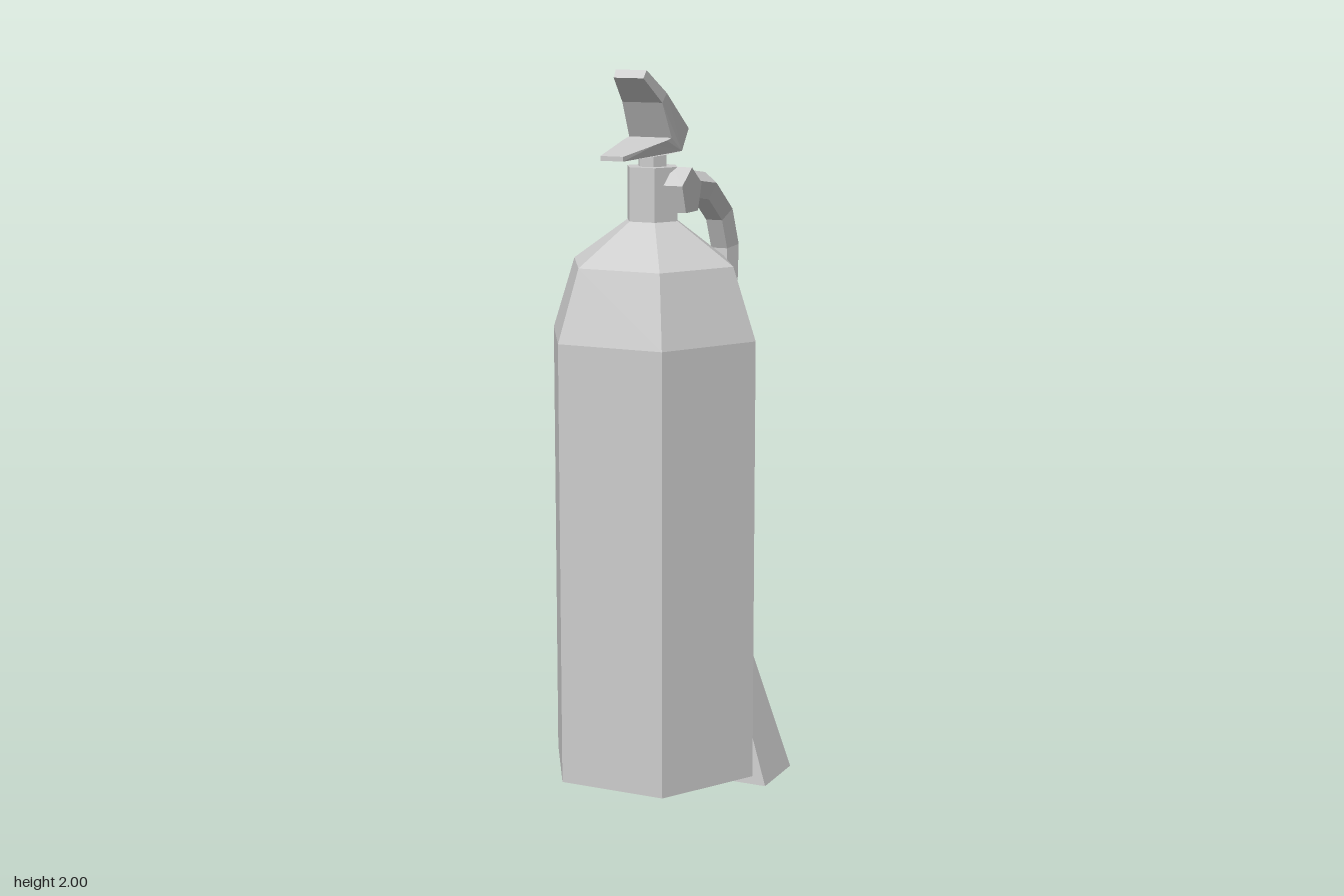
import * as THREE from 'three';

const grey = new THREE.MeshStandardMaterial({ color: 0xcccccc, flatShading: true });
grey.name = 'light grey';

const TANK_Z = 0.127; // axis of the tank

function part(name, geometry) {
  const mesh = new THREE.Mesh(geometry, grey);
  mesh.name = name;
  return mesh;
}

// Six-sided turned part with corners on the x axis; profile is [radius, y] from the bottom up
function hexLathe(profile) {
  const points = profile.map(([r, y]) => new THREE.Vector2(r, y));
  return new THREE.LatheGeometry(points, 6, Math.PI / 6).translate(0, 0, TANK_Z);
}

// Side outline in [z, y], extruded across x and narrowed towards the tip
function lever(outline, tipZ, tipHalf) {
  const shape = new THREE.Shape(outline.map(([z, y]) => new THREE.Vector2(z, y)));
  const geo = new THREE.ExtrudeGeometry(shape, { depth: 2, bevelEnabled: false });
  geo.translate(0, 0, -1).rotateY(-Math.PI / 2);
  const pos = geo.attributes.position;
  for (let i = 0; i < pos.count; i++) {
    const t = THREE.MathUtils.clamp((pos.getZ(i) - 0.145) / (tipZ - 0.145), 0, 1);
    pos.setX(i, -0.011 + pos.getX(i) * THREE.MathUtils.lerp(0.061, tipHalf, t));
  }
  geo.computeVertexNormals();
  return geo;
}

// Five-sided hose swept along a [z, y] path, with mitred bends and its ridge on the outside
function hose(path, radius) {
  const sides = 5;
  const centres = path.map(([z, y]) => new THREE.Vector3(0, y, z));
  const positions = [];
  const index = [];
  const last = centres.length - 1;
  centres.forEach((c, i) => {
    const before = c.clone().sub(centres[Math.max(i - 1, 0)]).normalize();
    const after = centres[Math.min(i + 1, last)].clone().sub(c).normalize();
    const t = before.clone().add(after).normalize();
    const mitre = 1 / t.dot(i < last ? after : before);
    for (let j = 0; j < sides; j++) {
      const a = (j / sides) * Math.PI * 2;
      const out = Math.cos(a) * radius * mitre;
      positions.push(Math.sin(a) * radius, c.y - t.z * out, c.z + t.y * out);
      if (i < last) {
        const p = i * sides + j;
        const q = i * sides + (j + 1) % sides;
        index.push(p, q, p + sides, q, q + sides, p + sides);
      }
    }
  });
  for (let j = 1; j < sides - 1; j++) {
    const e = last * sides;
    index.push(0, j + 1, j, e, e + j, e + j + 1);
  }
  const geo = new THREE.BufferGeometry();
  geo.setAttribute('position', new THREE.Float32BufferAttribute(positions, 3));
  geo.setIndex(index);
  geo.computeVertexNormals();
  return geo;
}

export function createModel() {
  const group = new THREE.Group();
  group.name = 'fireExtinguisher';

  // Tank with sloped shoulders, valve neck and stem
  group.add(part('tank', hexLathe([[0, 0.13], [0.294, 0.13], [0.294, 1.31], [0.23, 1.5], [0.072, 1.61]])));
  group.add(part('valveNeck', hexLathe([[0.072, 1.61], [0.072, 1.75], [0, 1.75]])));
  group.add(part('valveStem', hexLathe([[0.04, 1.75], [0.04, 1.79], [0, 1.79]])));

  // Squeeze levers
  group.add(part('upperLever', lever([
    [0.228, 2], [0.145, 1.939], [0.011, 1.841], [0.053, 1.785],
    [0.116, 1.823], [0.164, 1.915], [0.243, 1.98],
  ], 0.235, 0.042)));
  group.add(part('lowerLever', lever([
    [0.053, 1.785], [0.145, 1.782], [0.34, 1.778], [0.34, 1.79],
    [0.2, 1.81], [0.145, 1.818], [0.116, 1.823],
  ], 0.34, 0.032)));

  // Pressure gauge on the side, point upwards
  const gauge = new THREE.CylinderGeometry(0.063, 0.063, 0.053, 5);
  gauge.rotateX(-Math.PI / 2).rotateY(Math.PI / 2);
  const gaugeMesh = part('gauge', gauge);
  gaugeMesh.position.set(0.0865, 1.687, TANK_Z);
  group.add(gaugeMesh);

  // Hose from the neck over the back and down to the horn
  group.add(part('hose', hose([
    [0.1, 1.688], [-0.05, 1.687], [-0.19, 1.668], [-0.293, 1.592],
    [-0.335, 1.495], [-0.31, 1.077], [-0.23, 0.662], [-0.23, 0.52],
  ], 0.041)));

  // Flared horn: a box narrowed at the top
  const horn = new THREE.BoxGeometry(0.438, 0.53, 0.186);
  const pos = horn.attributes.position;
  for (let i = 0; i < pos.count; i++) {
    if (pos.getY(i) > 0) {
      pos.setX(i, Math.sign(pos.getX(i)) * 0.045);
      pos.setZ(i, Math.sign(pos.getZ(i)) * 0.05);
    }
  }
  horn.computeVertexNormals();
  const hornMesh = part('horn', horn);
  hornMesh.position.set(0, 0.265, -0.234);
  group.add(hornMesh);

  return group;
}
